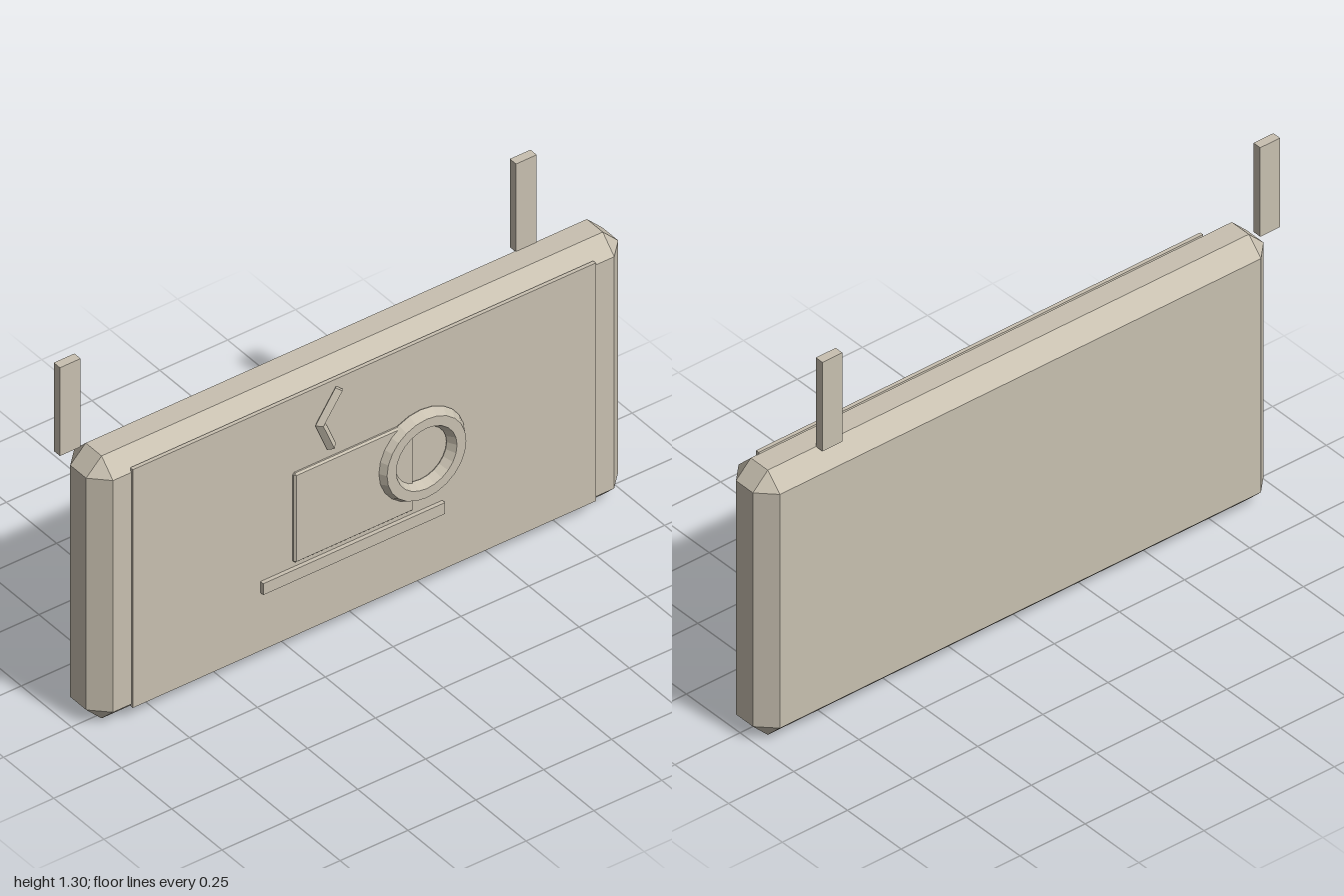
import * as THREE from 'three';
import { ConvexGeometry } from 'three/addons/geometries/ConvexGeometry.js';

const beige = new THREE.MeshStandardMaterial({ color: 0xc8c0b0 });
beige.name = 'beige';

// Box between two corners
function box(min, max) {
  const size = max.map((v, i) => v - min[i]);
  const mid = max.map((v, i) => (v + min[i]) / 2);
  return new THREE.BoxGeometry(...size).translate(...mid);
}

// Box between two corners with every edge cut at 45 degrees
function chamferedBox(min, max, cut) {
  const points = [];
  for (let corner = 0; corner < 8; corner++) {
    for (let axis = 0; axis < 3; axis++) {
      const p = [0, 1, 2].map((i) => {
        const inset = i === axis ? 0 : cut;
        return (corner >> i) & 1 ? max[i] - inset : min[i] + inset;
      });
      points.push(new THREE.Vector3(...p));
    }
  }
  return new ConvexGeometry(points);
}

// Diamond-section bar between two points, cut along the given directions
function diamondBar(a, b, cutA, cutB, z, depth) {
  const points = [];
  for (const [p, cut] of [[a, cutA], [b, cutB]]) {
    for (const s of [-1, 1]) {
      points.push(new THREE.Vector3(p[0] + s * cut[0], p[1] + s * cut[1], z));
      points.push(new THREE.Vector3(p[0], p[1], z + s * depth));
    }
  }
  return new ConvexGeometry(points);
}

export function createModel() {
  const model = new THREE.Group();
  model.name = 'hangingCafeSign';
  const add = (name, geometry) => {
    const mesh = new THREE.Mesh(geometry, beige);
    mesh.name = name;
    model.add(mesh);
    return mesh;
  };

  // Sign board and its raised front panel
  add('board', chamferedBox([-0.96, 0, -0.117], [1, 0.975, 0.076], 0.057));
  add('frontPanel', box([-0.835, 0.047, 0.07], [0.87, 0.932, 0.083]));

  // Hanging straps
  for (const [name, x] of [['rightStrap', -1], ['leftStrap', 0.68]]) {
    add(name, box([x, 0.972, -0.088], [x + 0.076, 1.3, -0.057]));
  }

  // Cup, saucer and handle
  add('cup', chamferedBox([-0.247, 0.323, 0.072], [0.192, 0.655, 0.094], 0.006));
  add('saucer', box([-0.365, 0.263, 0.08], [0.305, 0.305, 0.097]));
  const ring = new THREE.TorusGeometry(0.129, 0.034, 6, 24).toNonIndexed();
  ring.computeVertexNormals();
  add('cupHandle', ring).position.set(0.222, 0.518, 0.0875);

  // Bent wisp of steam
  const top = [-0.083, 0.902], elbow = [-0.153, 0.801], bottom = [-0.112, 0.7];
  const mitre = [0.018, -0.001];
  add('upperSteam', diamondBar(top, elbow, [0.014, -0.009], mitre, 0.094, 0.016));
  add('lowerSteam', diamondBar(elbow, bottom, mitre, [0.016, 0.006], 0.094, 0.016));

  return model;
}
